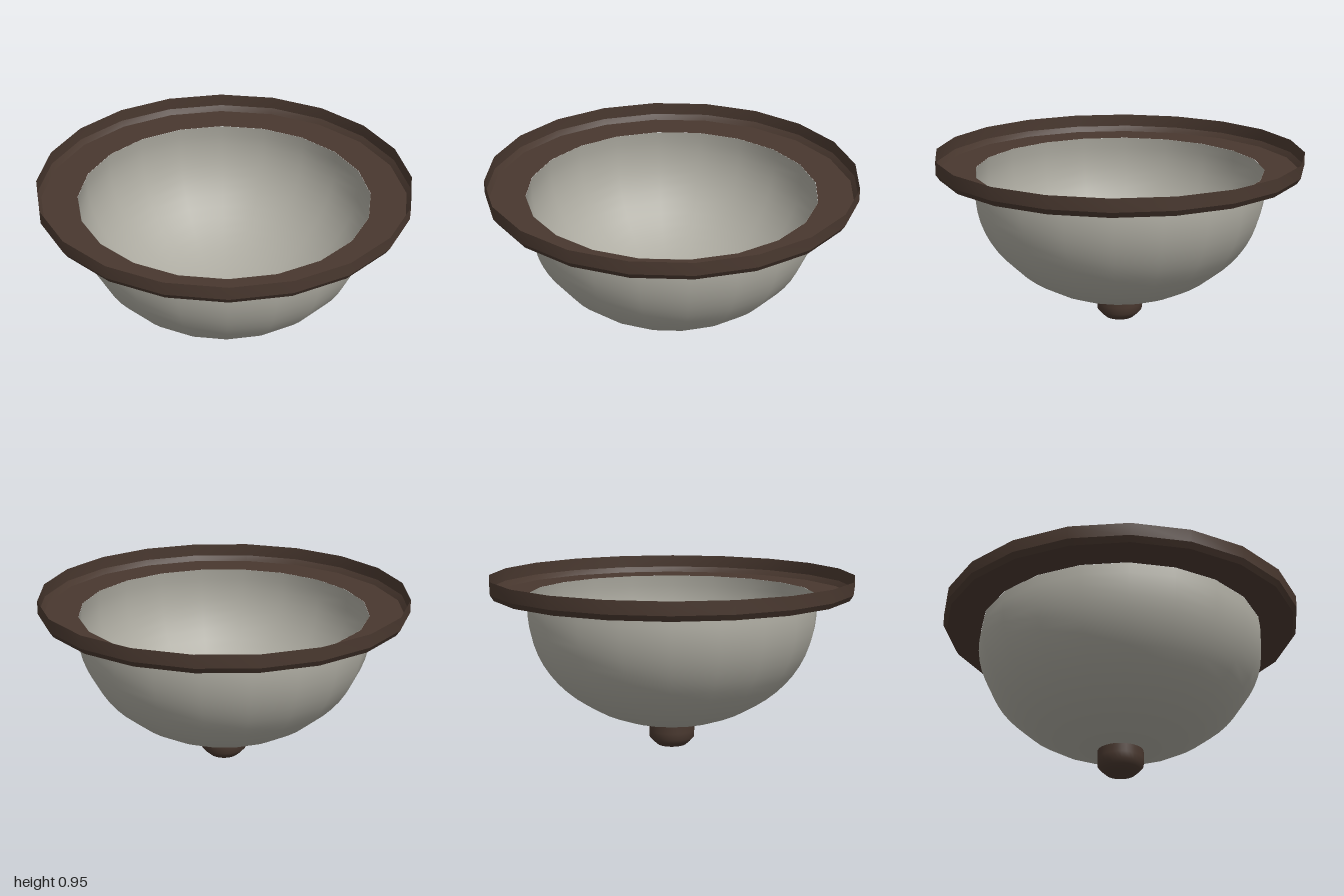
import * as THREE from 'three';
import { toCreasedNormals } from 'three/addons/utils/BufferGeometryUtils.js';

function makeMaterial(name, color) {
  const material = new THREE.MeshStandardMaterial({ color, side: THREE.DoubleSide });
  material.name = name;
  return material;
}

// Open shell turned around the y axis from [radius, height] pairs
function turned(name, profile, sides, material, crease) {
  const points = profile.map(([r, y]) => new THREE.Vector2(r, y));
  let geometry = new THREE.LatheGeometry(points, sides);
  if (crease) geometry = toCreasedNormals(geometry, crease);
  const mesh = new THREE.Mesh(geometry, material);
  mesh.name = name;
  return mesh;
}

export function createModel() {
  const bronze = makeMaterial('dark bronze', 0x49382f);
  const glass = makeMaterial('frosted grey', 0xacaaa0);
  const group = new THREE.Group();
  group.name = 'bowl';

  // Bowl: ellipsoid arc from the knob opening to just above its widest line
  const arc = [];
  const start = Math.asin(0.125 / 0.795);
  const end = Math.PI / 2 + Math.asin(0.095 / 0.632);
  const steps = 16;
  for (let i = 0; i <= steps; i++) {
    const a = start + (end - start) * i / steps;
    arc.push([0.795 * Math.sin(a), 0.76 - 0.632 * Math.cos(a)]);
  }
  group.add(turned('bowlShell', arc, 20, glass));

  // Rim: thin tray with a flat floor, small chamfer and upright wall
  group.add(turned('rim', [
    [0.787, 0.855], [0.98, 0.855], [1, 0.885], [1, 0.955],
  ], 20, bronze, 0.45));

  // Knob: small hollow cup closing the bottom of the bowl
  group.add(turned('knob', [
    [0, 0], [0.045, 0.002], [0.08, 0.008], [0.105, 0.03],
    [0.125, 0.053], [0.126, 0.09], [0.126, 0.138],
  ], 32, bronze));

  return group;
}
